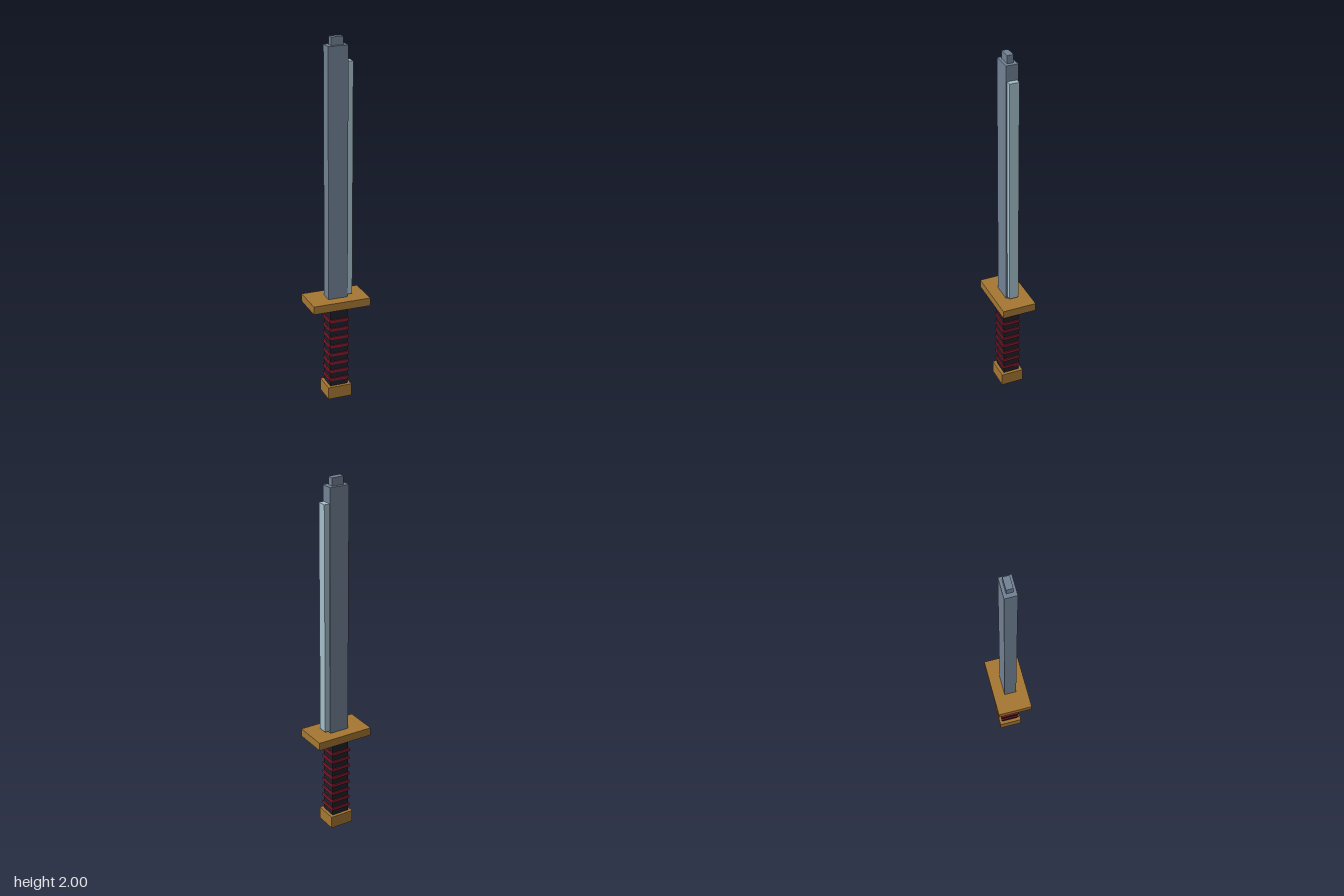
import * as THREE from 'three';

const material = (name, color) => {
  const m = new THREE.MeshStandardMaterial({ color });
  m.name = name;
  return m;
};

export function createModel() {
  const sword = new THREE.Group();
  sword.name = 'sword';

  const steel = material('blue grey steel', 0x728295);
  const edgeSteel = material('pale edge steel', 0xa5c0cb);
  const brass = material('brass', 0xa67733);
  const grip = material('dark grip', 0x1f1f2b);
  const cord = material('red cord', 0x8b1a2b);

  // Box spanning y0..y1, centred on z = 0
  const block = (name, mat, width, depth, y0, y1, x = 0) => {
    const mesh = new THREE.Mesh(new THREE.BoxGeometry(width, y1 - y0, depth), mat);
    mesh.name = name;
    mesh.position.set(x, (y0 + y1) / 2, 0);
    sword.add(mesh);
  };

  // Hilt
  block('pommel', brass, 0.135, 0.125, 0, 0.07);
  block('handle', grip, 0.1, 0.09, 0.07, 0.54);
  block('guard', brass, 0.324, 0.189, 0.54, 0.585);

  // Cord bands around the handle
  for (let i = 0; i < 8; i++) {
    const y = 0.11 + i * 0.05;
    block(`cordBand${i + 1}`, cord, 0.113, 0.103, y - 0.008, y + 0.008);
  }

  // Blade with a stepped tip and a cutting edge on its left
  block('blade', steel, 0.11, 0.066, 0.585, 1.957);
  block('bladeTip', steel, 0.067, 0.035, 1.957, 2);
  block('cuttingEdge', edgeSteel, 0.031, 0.052, 0.597, 1.873, 0.069);

  return sword;
}
